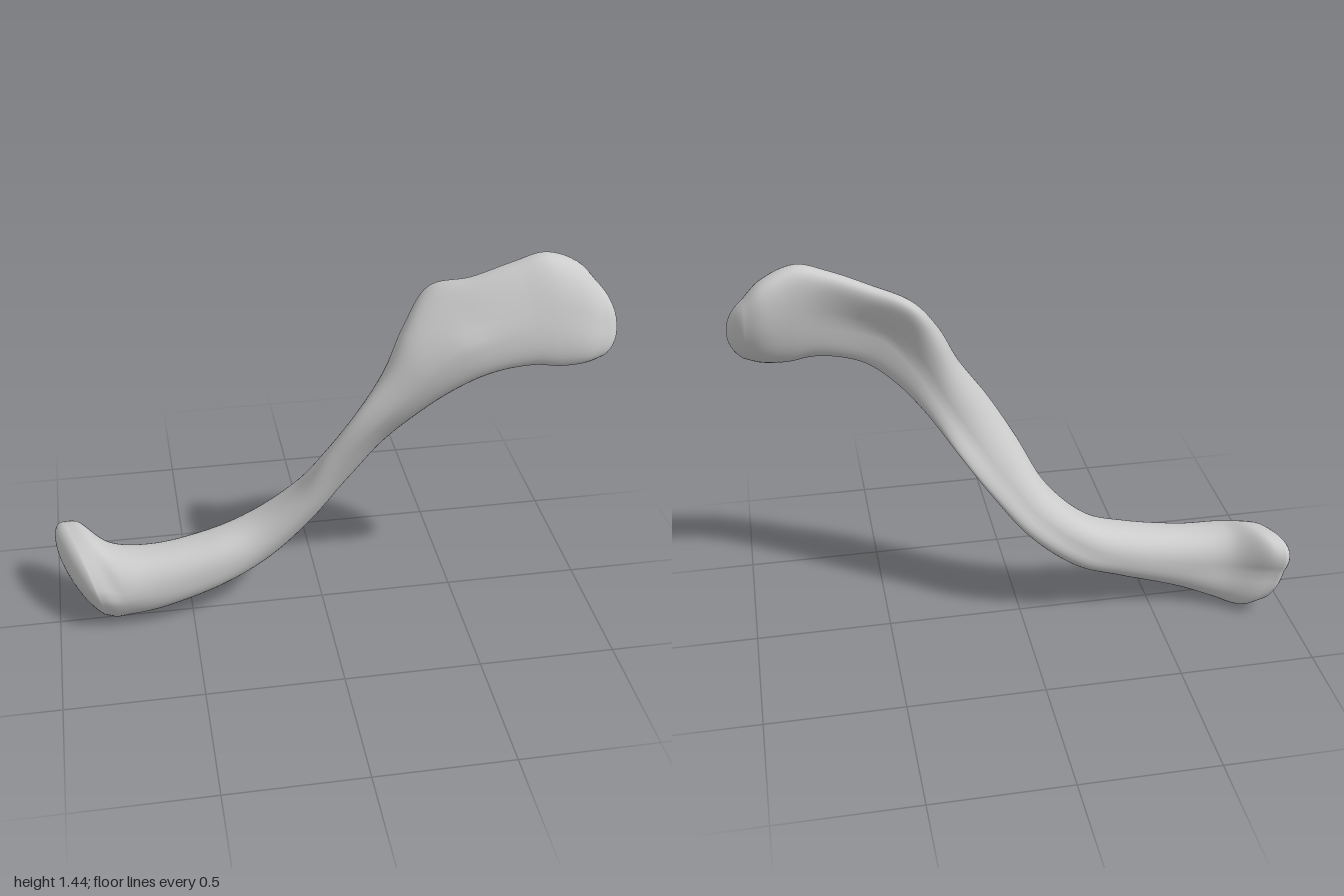
import * as THREE from 'three';

// Cross-sections along the bone:
// upper edge x,y,z | lower edge x,y,z | front z, back z
const SECTIONS = [
  [-0.945, 0.32, -0.115, -0.86, 0.02, -0.08, 0.11, -0.235],
  [-0.89, 0.33, -0.11, -0.81, 0, -0.08, 0.122, -0.205],
  [-0.79, 0.295, -0.02, -0.73, 0.018, -0.04, 0.12, -0.135],
  [-0.65, 0.29, 0, -0.61, 0.055, 0, 0.115, -0.105],
  [-0.42, 0.33, 0, -0.38, 0.135, 0, 0.105, -0.105],
  [-0.26, 0.39, -0.01, -0.2, 0.22, -0.03, 0.092, -0.107],
  [-0.11, 0.52, 0.02, -0.02, 0.38, -0.035, 0.102, -0.085],
  [0, 0.7, 0.075, 0.1, 0.54, 0.005, 0.13, -0.02],
  [0.1, 0.86, 0.105, 0.21, 0.7, 0.045, 0.168, 0.03],
  [0.2, 1.02, 0.1, 0.32, 0.845, 0.105, 0.2, 0.045],
  [0.27, 1.17, 0.075, 0.42, 0.95, 0.15, 0.222, 0.06],
  [0.365, 1.3, 0.035, 0.52, 1.02, 0.18, 0.235, 0.08],
  [0.5, 1.35, 0.09, 0.61, 1.05, 0.19, 0.238, 0.09],
  [0.64, 1.405, 0.11, 0.71, 1.06, 0.195, 0.237, 0.085],
  [0.75, 1.435, 0.115, 0.8, 1.048, 0.195, 0.235, 0.07],
  [0.87, 1.388, 0.11, 0.89, 1.055, 0.195, 0.228, 0.06],
  [0.94, 1.315, 0.12, 0.95, 1.075, 0.195, 0.218, 0.085],
];
const SIDES = 40;
const STEPS = 128;
const CAP = 8;

const curve = (fn) => new THREE.CatmullRomCurve3(SECTIONS.map(fn));
const softPow = (v) => Math.sign(v) * Math.abs(v) ** 0.85;

// Front or back edge. The inner end is slanted so its back reaches further out;
// mid-shaft the section twists, its front ridge rising and its back ridge dropping.
function sideEdge(s, z) {
  const x = (s[0] + s[3]) / 2;
  const dz = z - (s[6] + s[7]) / 2;
  const flare = THREE.MathUtils.smoothstep(-x, 0.65, 0.9);
  const twist = 0.2 * Math.exp(-(((x - 0.12) / 0.18) ** 2)) * Math.sign(dz);
  const lift = 0.15 * flare * Math.max(0, -dz);
  return new THREE.Vector3(
    THREE.MathUtils.lerp(s[3], s[0], 0.5 + twist) + 0.3 * flare * dz,
    THREE.MathUtils.lerp(s[4], s[1], 0.5 + twist) + lift,
    z,
  );
}

const upper = curve((s) => new THREE.Vector3(s[0], s[1], s[2]));
const lower = curve((s) => new THREE.Vector3(s[3], s[4], s[5]));
const front = curve((s) => sideEdge(s, s[6]));
const back = curve((s) => sideEdge(s, s[7]));

// One closed ring of four quarter-ellipses, with a shallow hollow behind the flat end
function makeRing(t) {
  const [u, l, f, b] = [upper, lower, front, back].map((c) => c.getPoint(t));
  const centre = f.clone().add(b).multiplyScalar(0.5);
  const ring = [];
  for (let j = 0; j < SIDES; j++) {
    const a = (j / SIDES) * Math.PI * 2;
    const c = softPow(Math.cos(a)), s = softPow(Math.sin(a));
    const p = centre.clone()
      .addScaledVector((c > 0 ? f : b).clone().sub(centre), Math.abs(c))
      .addScaledVector((s > 0 ? u : l).clone().sub(centre), Math.abs(s));
    const hollow = Math.exp(-(((p.x - 0.58) / 0.2) ** 2));
    p.z += 0.025 * hollow * Math.max(0, -Math.cos(a)) ** 3;
    ring.push(p);
  }
  return ring;
}

// Domed end: shrinking copies of the last ring; startAngle sets how steeply the dome begins
function capRings(ring, dir, height, startAngle) {
  const centre = ring.reduce((m, p) => m.add(p), new THREE.Vector3()).divideScalar(SIDES);
  const sin0 = Math.sin(startAngle);
  return Array.from({ length: CAP }, (_, k) => {
    const a = THREE.MathUtils.lerp(startAngle, Math.PI / 2, (k + 1) / CAP);
    const scale = Math.max(0.001, Math.cos(a) / Math.cos(startAngle));
    const offset = height * (Math.sin(a) - sin0) / (1 - sin0);
    return ring.map((p) => p.clone().sub(centre).multiplyScalar(scale).add(centre)
      .addScaledVector(dir, offset));
  });
}

function loft(rings) {
  const positions = [], index = [];
  rings.forEach((ring) => ring.forEach((p) => positions.push(p.x, p.y, p.z)));
  for (let i = 0; i < rings.length - 1; i++) {
    for (let j = 0; j < SIDES; j++) {
      const k = (j + 1) % SIDES;
      const a = i * SIDES + j, b = a + SIDES, c = i * SIDES + k, d = c + SIDES;
      index.push(a, b, c, b, d, c);
    }
  }
  const geometry = new THREE.BufferGeometry();
  geometry.setAttribute('position', new THREE.Float32BufferAttribute(positions, 3));
  geometry.setIndex(index);
  geometry.computeVertexNormals();
  return geometry;
}

export function createModel() {
  const body = Array.from({ length: STEPS + 1 }, (_, i) => makeRing(i / STEPS));
  const innerCap = capRings(body[0], new THREE.Vector3(-1, 0.15, -0.2).normalize(), 0.07, 0.3);
  const outerCap = capRings(body[STEPS], new THREE.Vector3(1, -0.2, 0.35).normalize(), 0.06, 0.7);
  const bone = new THREE.Mesh(
    loft([...innerCap.reverse(), ...body, ...outerCap]),
    new THREE.MeshStandardMaterial({ color: 0xcccccc }),
  );
  bone.name = 'collarbone';
  const group = new THREE.Group();
  group.name = 'collarboneModel';
  group.add(bone);
  return group;
}
